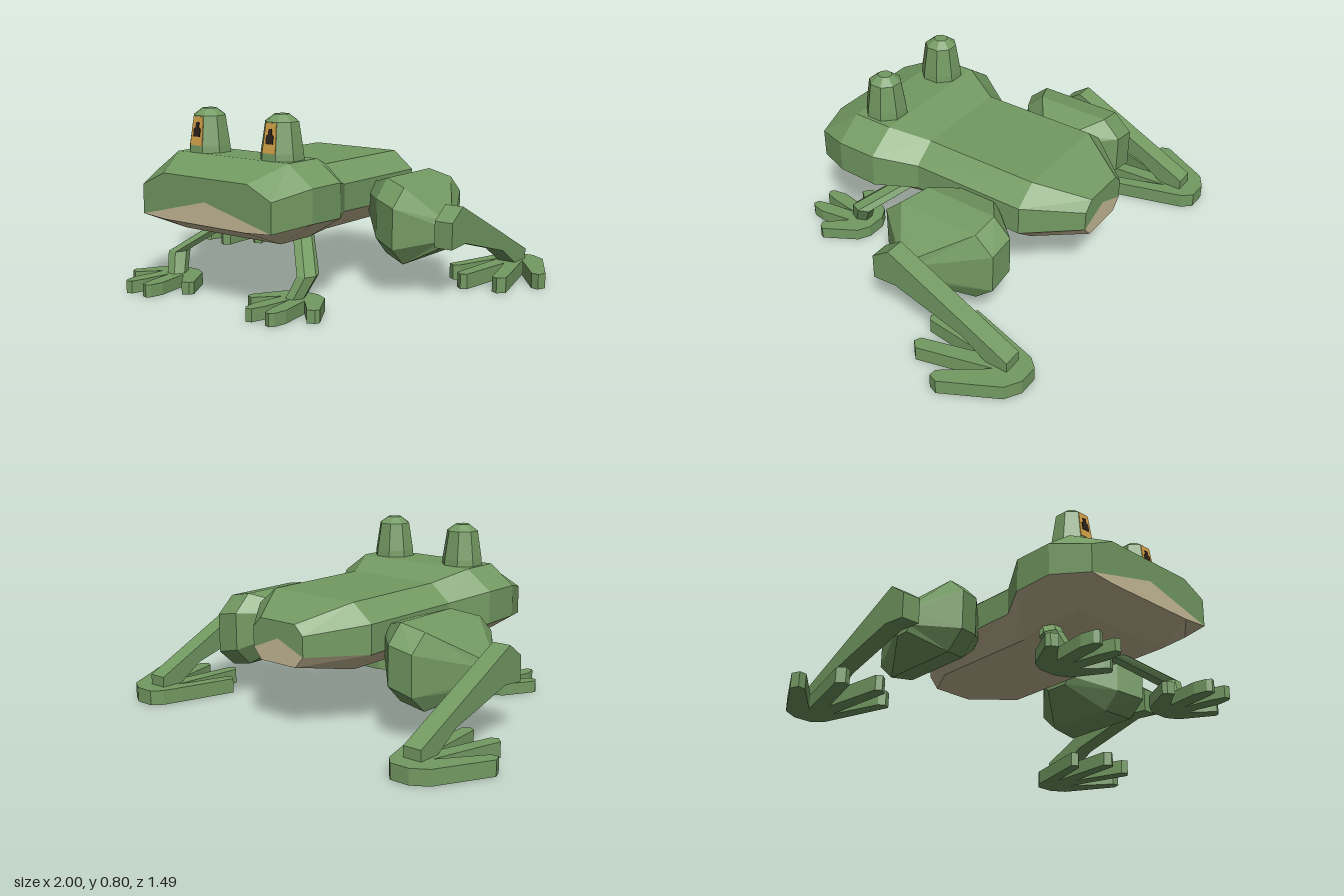
import * as THREE from 'three';

const mat = (name, color) => {
  const m = new THREE.MeshStandardMaterial({ color });
  m.name = name;
  return m;
};

// Faceted skin over closed rings of [x, y, z], with fan caps at both ends.
// Edges whose index is listed in "second" go to the second material group.
function loft(rings, second = [], centres = []) {
  const n = rings[0].length;
  const tris = [[], []];
  const mean = (r) => [0, 1, 2].map((k) => r.reduce((s, p) => s + p[k], 0) / n);
  const first = rings[0], last = rings[rings.length - 1];
  const c0 = centres[0] || mean(first), c1 = centres[1] || mean(last);
  for (let j = 0; j < n; j++) {
    const k = (j + 1) % n, list = tris[second.includes(j) ? 1 : 0];
    for (let i = 0; i < rings.length - 1; i++) {
      const a = rings[i], b = rings[i + 1];
      list.push([a[j], a[k], b[k]], [a[j], b[k], b[j]]);
    }
    list.push([c0, first[k], first[j]], [c1, last[j], last[k]]);
  }
  // the signed volume tells whether the corners must be reversed
  let volume = 0;
  const v = (p) => new THREE.Vector3(...p).sub(new THREE.Vector3(...c0));
  for (const [a, b, c] of tris.flat()) volume += v(a).dot(v(b).cross(v(c)));
  const order = (t) => (volume < 0 ? [t[0], t[2], t[1]] : t);
  const geo = new THREE.BufferGeometry();
  geo.setAttribute('position', new THREE.Float32BufferAttribute(tris.flat().map(order).flat(2), 3));
  geo.computeVertexNormals();
  if (second.length) {
    geo.addGroup(0, tris[0].length * 3, 0);
    geo.addGroup(tris[0].length * 3, tris[1].length * 3, 1);
  }
  return geo;
}

// Flat outline of [x, z] points raised from the ground
function slab(points, height) {
  const shape = new THREE.Shape(points.map(([x, z]) => new THREE.Vector2(x, -z)));
  return new THREE.ExtrudeGeometry(shape, { depth: height, bevelEnabled: false }).rotateX(-Math.PI / 2);
}

// Horizontal ring with a flat side facing forward
const ring = (x, y, z, rx, rz, n) => Array.from({ length: n }, (_, i) => {
  const t = ((i + 0.5) / n) * Math.PI * 2;
  return [x + rx * Math.sin(t), y, z + rz * Math.cos(t)];
});

export function createModel() {
  const skin = mat('green skin', 0x739a62);
  const belly = mat('pale belly', 0xc8bb98);
  const iris = mat('amber iris', 0xd2a048);
  const pupil = mat('dark pupil', 0x2a2018);
  const frog = new THREE.Group();
  frog.name = 'frog';
  const add = (parent, name, geo, material) => {
    const mesh = new THREE.Mesh(geo, material);
    mesh.name = name;
    parent.add(mesh);
  };

  // Body and head: z, then half width and height of top, side, lower side and bottom
  const sections = [
    [-0.62, 0.10, 0.485, 0.145, 0.44, 0.145, 0.35, 0.10, 0.30],
    [-0.40, 0.23, 0.56, 0.33, 0.48, 0.33, 0.35, 0.23, 0.27],
    [0.14, 0.23, 0.56, 0.33, 0.48, 0.33, 0.36, 0.23, 0.27],
    [0.31, 0.31, 0.61, 0.435, 0.52, 0.435, 0.37, 0.27, 0.27],
    [0.50, 0.31, 0.61, 0.435, 0.52, 0.435, 0.375, 0.27, 0.27],
    [0.67, 0.235, 0.54, 0.36, 0.48, 0.36, 0.35, 0.23, 0.34],
  ].map(([z, ...s]) => {
    const half = [0, 2, 4, 6].map((i) => [s[i], s[i + 1], z]);
    return [...half, ...half.map(([x, y]) => [-x, y, z]).reverse()];
  });
  add(frog, 'body', loft(sections, [2, 3, 4], [[0, 0.41, -0.62], [0, 0.44, 0.67]]), [skin, belly]);

  for (const s of [1, -1]) {
    const side = s > 0 ? 'left' : 'right';
    const flip = (points) => points.map(([x, ...rest]) => [x * s, ...rest]);
    const group = (name) => {
      const g = new THREE.Group();
      g.name = side + name;
      frog.add(g);
      return g;
    };

    // Eye stalk, with iris and pupil plates on its front facet
    const eye = group('Eye'), ex = 0.205 * s, ez = 0.41;
    const stalk = [[0.60, 0.09], [0.64, 0.087], [0.77, 0.068], [0.80, 0.03]];
    add(eye, 'eyeStalk', loft(stalk.map(([y, a]) => {
      const r = a / Math.cos(Math.PI / 8);
      return ring(ex, y, ez, r, r, 8);
    })), skin);
    const plate = (points, lift) => {
      const at = (d) => points.map(([x, y]) => [ex + x, y, ez + 0.087 - (y - 0.64) * 0.146 + d]);
      return loft([at(-0.002), at(lift)]);
    };
    add(eye, 'iris', plate([[-0.035, 0.642], [0.035, 0.642], [0.028, 0.766], [-0.028, 0.766]], 0.003), iris);
    add(eye, 'pupil', plate([[-0.019, 0.68], [0.019, 0.68], [0.019, 0.715], [0.009, 0.72],
      [0.009, 0.742], [-0.009, 0.742], [-0.009, 0.72], [-0.019, 0.715]], 0.006), pupil);

    // Front leg and four-toed foot
    const front = group('FrontLeg');
    add(front, 'frontLimb', loft([
      ring(0.12 * s, 0.36, 0.18, 0.045, 0.05, 6),
      ring(0.37 * s, 0.145, 0.447, 0.042, 0.056, 6),
      ring(0.335 * s, 0.04, 0.497, 0.04, 0.05, 6),
    ]), skin);
    const toes = [[0.045, 0.40], [0.10, 0.43], [0.185, 0.575], [0.175, 0.595], [0.145, 0.61], [0.13, 0.59],
      [0.06, 0.515], [0.085, 0.665], [0.075, 0.725], [0.06, 0.743], [0.035, 0.735], [0.018, 0.67]];
    const foot = [...toes, [0, 0.54], ...toes.map(([x, z]) => [-x, z]).reverse()];
    add(front, 'frontFoot', slab(foot.map(([x, z]) => [(0.345 + x) * s, z]), 0.055), skin);

    // Thigh: sections outward along x
    const back = group('BackLeg');
    const octagon = (x, z0, z1, y0, y1, c) => {
      const cz = (z1 - z0) * c, cy = (y1 - y0) * c * 1.5;
      return flip([[x, y0 + cy, z1], [x, y1 - cy, z1], [x, y1, z1 - cz], [x, y1, z0 + cz],
        [x, y1 - cy, z0], [x, y0 + cy, z0], [x, y0, z0 + cz], [x, y0, z1 - cz]]);
    };
    add(back, 'thigh', loft([
      octagon(0.29, -0.27, -0.10, 0.29, 0.45, 0.16),
      octagon(0.45, -0.44, 0.07, 0.165, 0.50, 0.16),
      octagon(0.57, -0.437, 0.125, 0.14, 0.475, 0.155),
      octagon(0.712, -0.14, -0.05, 0.22, 0.335, 0.16),
    ]), skin);

    // Shin: side profile of z and y, given the width of the leg
    const shin = [[0.015, 0.23], [0.015, 0.345], [-0.07, 0.405], [-0.665, 0.115],
      [-0.665, 0.06], [-0.57, 0.06], [-0.44, 0.145], [-0.10, 0.24]];
    const profile = new THREE.Shape(shin.map(([z, y]) => new THREE.Vector2(z, y)));
    add(back, 'shin', new THREE.ExtrudeGeometry(profile, { depth: 0.086, bevelEnabled: false })
      .rotateY(-Math.PI / 2).translate(0.754 * s + 0.043, 0, 0), skin);

    // Long back foot, turned outward
    add(back, 'backFoot', slab(flip([
      [0.71, -0.743], [0.80, -0.743], [0.87, -0.70], [1.0, -0.46], [0.985, -0.42], [0.95, -0.425],
      [0.81, -0.61], [0.90, -0.28], [0.87, -0.25], [0.84, -0.265], [0.765, -0.52],
      [0.735, -0.23], [0.71, -0.215], [0.68, -0.24], [0.70, -0.59],
      [0.625, -0.36], [0.60, -0.34], [0.57, -0.36], [0.67, -0.70],
    ]), 0.068), skin);
  }
  return frog;
}
